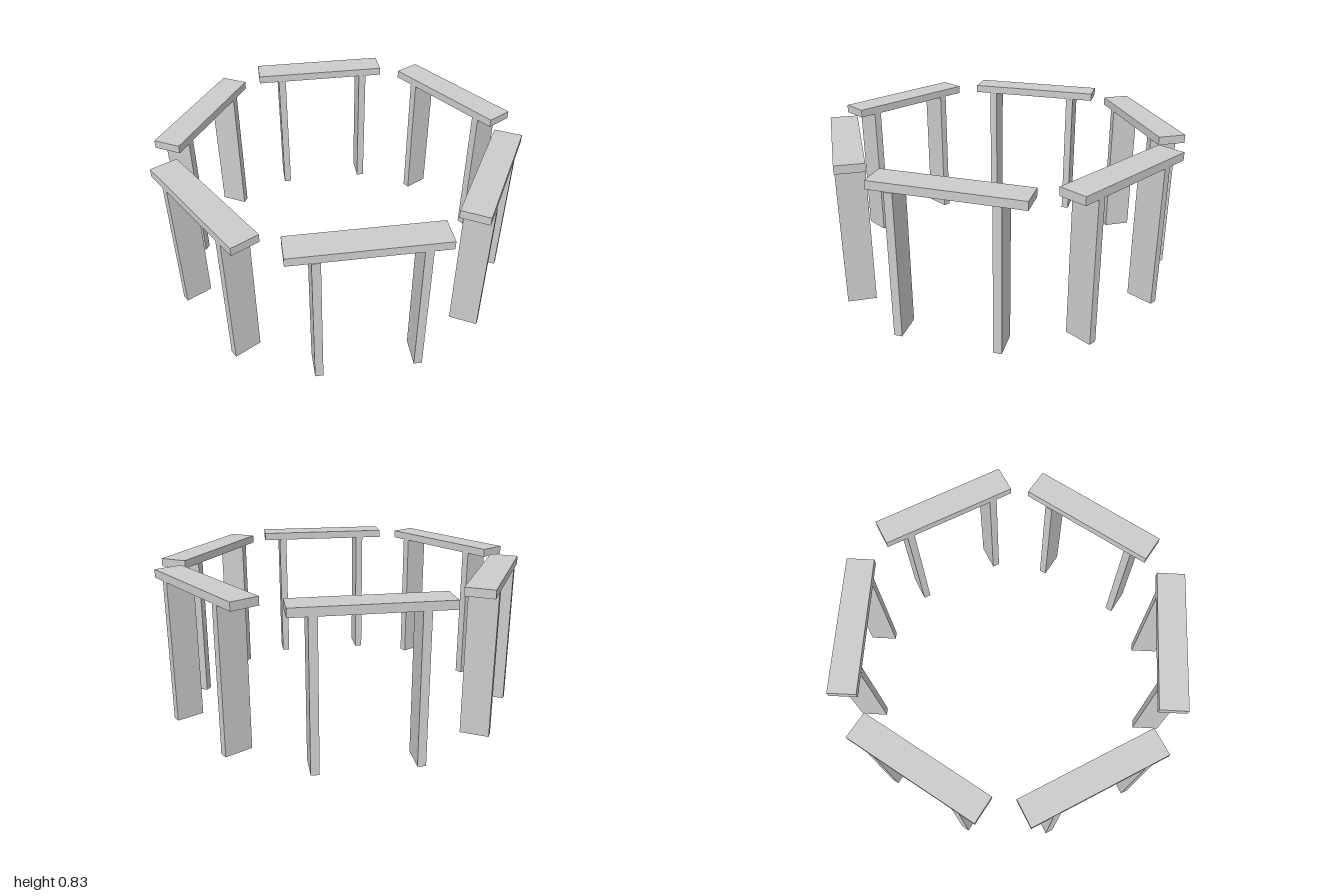
import * as THREE from 'three';

const LINTEL = [0.777, 0.045, 0.153];
const LEG = [0.043, 0.785, 0.153];
const LEG_SPACING = 0.518;

const material = new THREE.MeshStandardMaterial({ color: 0xcccccc, flatShading: true });

function slab(name, size, x, y, z, degrees) {
  const mesh = new THREE.Mesh(new THREE.BoxGeometry(...size), material);
  mesh.name = name;
  mesh.position.set(x, y, z);
  mesh.rotation.y = THREE.MathUtils.degToRad(degrees);
  return mesh;
}

// One arch: a lintel on two upright slabs, each pair set slightly off the lintel's middle.
function arch({ name, lintel, lintelAngle, legs, legAngle }) {
  const group = new THREE.Group();
  group.name = name;
  group.add(slab('lintel', LINTEL, lintel[0], LEG[1] + LINTEL[1] / 2, lintel[1], lintelAngle));
  const a = THREE.MathUtils.degToRad(legAngle);
  for (const side of [-1, 1]) {
    const d = side * LEG_SPACING / 2;
    group.add(slab(side < 0 ? 'firstLeg' : 'secondLeg', LEG,
      legs[0] + d * Math.cos(a), LEG[1] / 2, legs[1] - d * Math.sin(a), legAngle));
  }
  return group;
}

export function createModel() {
  const model = new THREE.Group();
  model.name = 'archRing';

  // Six arches around a ring; centres are [x, z]
  const arches = [
    { name: 'leftArch', lintel: [0.866, 0.009], lintelAngle: 90, legs: [0.866, 0.024], legAngle: 90 },
    { name: 'rightArch', lintel: [-0.868, 0.009], lintelAngle: 90, legs: [-0.868, 0.024], legAngle: 90 },
    { name: 'backLeftArch', lintel: [0.427, -0.74], lintelAngle: -30, legs: [0.438, -0.733], legAngle: -30 },
    { name: 'backRightArch', lintel: [-0.428, -0.74], lintelAngle: 30, legs: [-0.439, -0.733], legAngle: 30 },
    { name: 'frontLeftArch', lintel: [0.425, 0.732], lintelAngle: 28.9, legs: [0.413, 0.739], legAngle: 30 },
    { name: 'frontRightArch', lintel: [-0.426, 0.733], lintelAngle: -30.4, legs: [-0.416, 0.74], legAngle: -30 },
  ];
  for (const spec of arches) model.add(arch(spec));
  return model;
}
